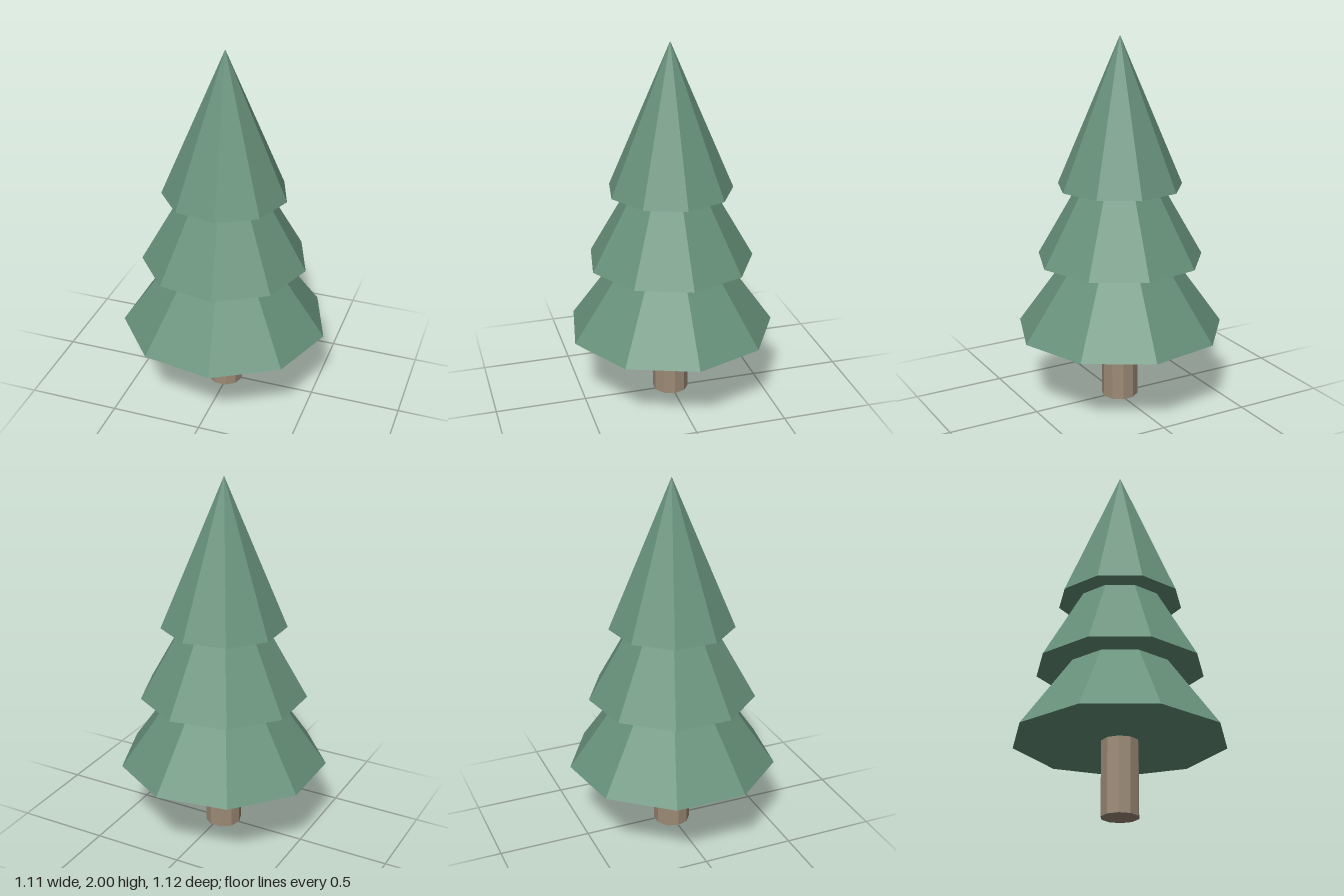
import * as THREE from 'three';

export function createModel() {
  const tree = new THREE.Group();
  tree.name = 'pineTree';

  const needles = new THREE.MeshStandardMaterial({ color: 0x67917a, flatShading: true });
  needles.name = 'needleGreen';
  const bark = new THREE.MeshStandardMaterial({ color: 0x9c8a76, flatShading: true });
  bark.name = 'barkBrown';

  // Odd-sided tiers reach further on +x, so the axis sits slightly off centre
  const axisX = -0.017;
  // Start angle that puts a corner on +x
  const start = Math.PI / 2;

  const add = (name, geometry, material, y) => {
    const mesh = new THREE.Mesh(geometry, material);
    mesh.name = name;
    mesh.position.set(axisX, y, 0);
    tree.add(mesh);
  };

  // Ten-sided trunk
  add('trunk', new THREE.CylinderGeometry(0.1, 0.1, 0.4, 10, 1, false, start), bark, 0.2);

  // Three overlapping nine-sided cones of equal height
  const tierHeight = 0.8;
  [['lowerTier', 0.57], ['middleTier', 0.455], ['topTier', 0.34]].forEach(([name, radius], i) => {
    const cone = new THREE.ConeGeometry(radius, tierHeight, 9, 1, false, start);
    add(name, cone, needles, 0.4 * (i + 1) + tierHeight / 2);
  });

  return tree;
}
